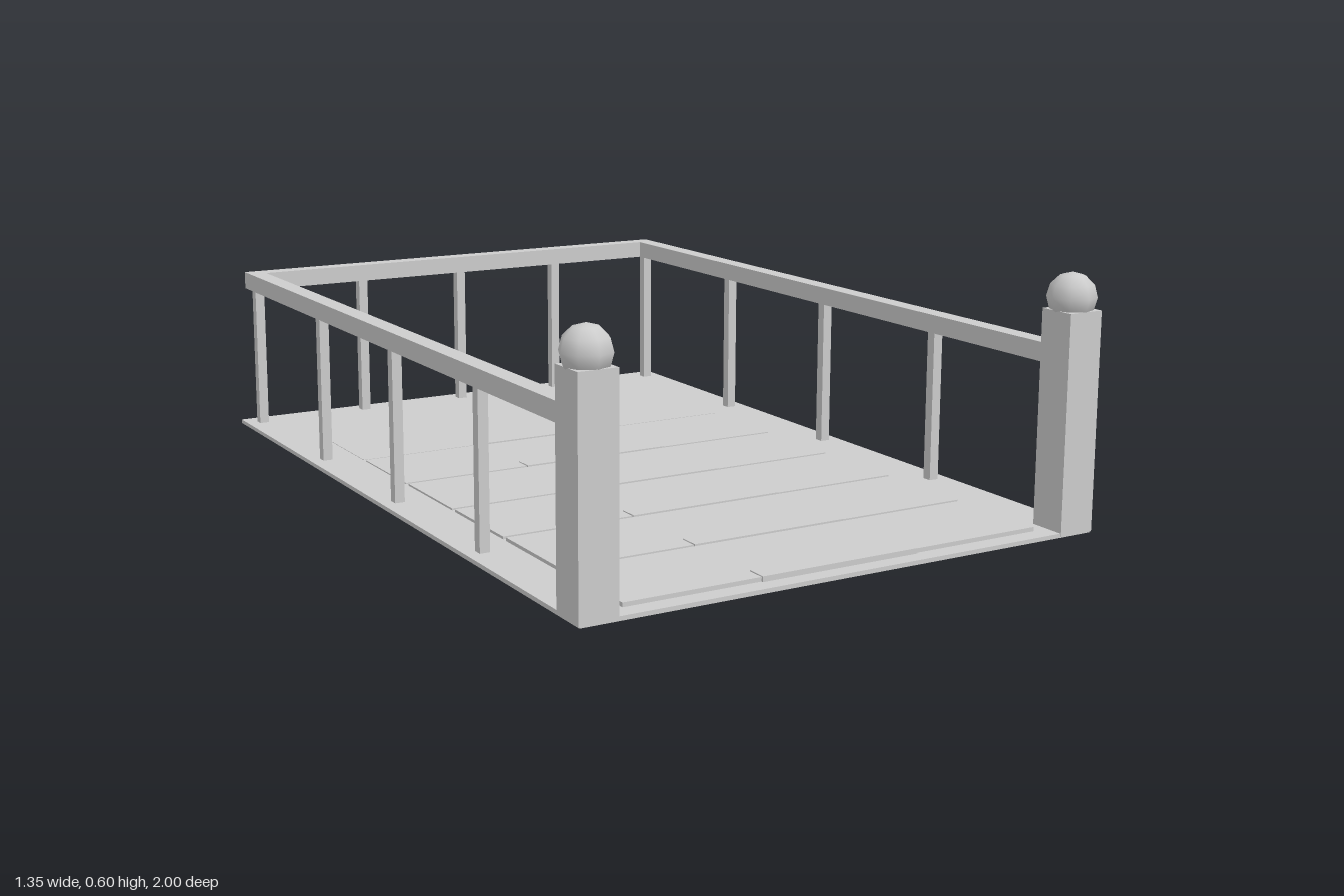
import * as THREE from 'three';

export function createModel() {
  const model = new THREE.Group();
  model.name = 'railedDeck';
  const grey = new THREE.MeshStandardMaterial({ color: 0xcccccc });
  grey.name = 'plain grey';

  // Box given by its limits on each axis
  function box(name, x0, x1, y0, y1, z0, z1) {
    const mesh = new THREE.Mesh(new THREE.BoxGeometry(x1 - x0, y1 - y0, z1 - z0), grey);
    mesh.position.set((x0 + x1) / 2, (y0 + y1) / 2, (z0 + z1) / 2);
    mesh.name = name;
    model.add(mesh);
  }
  function baluster(x, z) {
    const h = 0.0125;
    box('baluster', x - h, x + h, 0.005, 0.39, z - h, z + h);
  }

  // Thin floor slab
  box('floor', -0.663, 0.663, 0, 0.01, -1, 0.99);

  // Shallow planks, sinking gradually into the floor towards the back
  for (let i = 0; i < 6; i++) {
    const front = 0.945 - i * 0.27;
    const top = 0.02 - i * 0.0018;
    box('plank', -0.54, 0.535, 0.004, top, front - 0.255, front);
    box('plankStrip', -0.205, 0.2, 0.006, top + 0.0025, front - 0.045, front + 0.005);
  }

  for (const side of [-1, 1]) {
    // Front newel post with ball cap
    const x = side * 0.62;
    box('newelPost', x - 0.046, x + 0.046, 0.003, 0.515, 0.899, 0.992);
    const ball = new THREE.Mesh(new THREE.SphereGeometry(0.057, 8, 6), grey);
    ball.position.set(x, 0.543, 0.943);
    ball.name = 'ballCap';
    model.add(ball);

    // Side rail and its balusters
    box('sideRail', x - 0.023, x + 0.023, 0.385, 0.43, -0.975, 0.91);
    for (const z of [0.465, 0, -0.465, -0.945]) baluster(x, z);
  }

  // Back rail and its balusters
  box('backRail', -0.643, 0.643, 0.385, 0.43, -0.985, -0.94);
  for (const x of [-0.31, -0.005, 0.305]) baluster(x, -0.955);

  return model;
}
